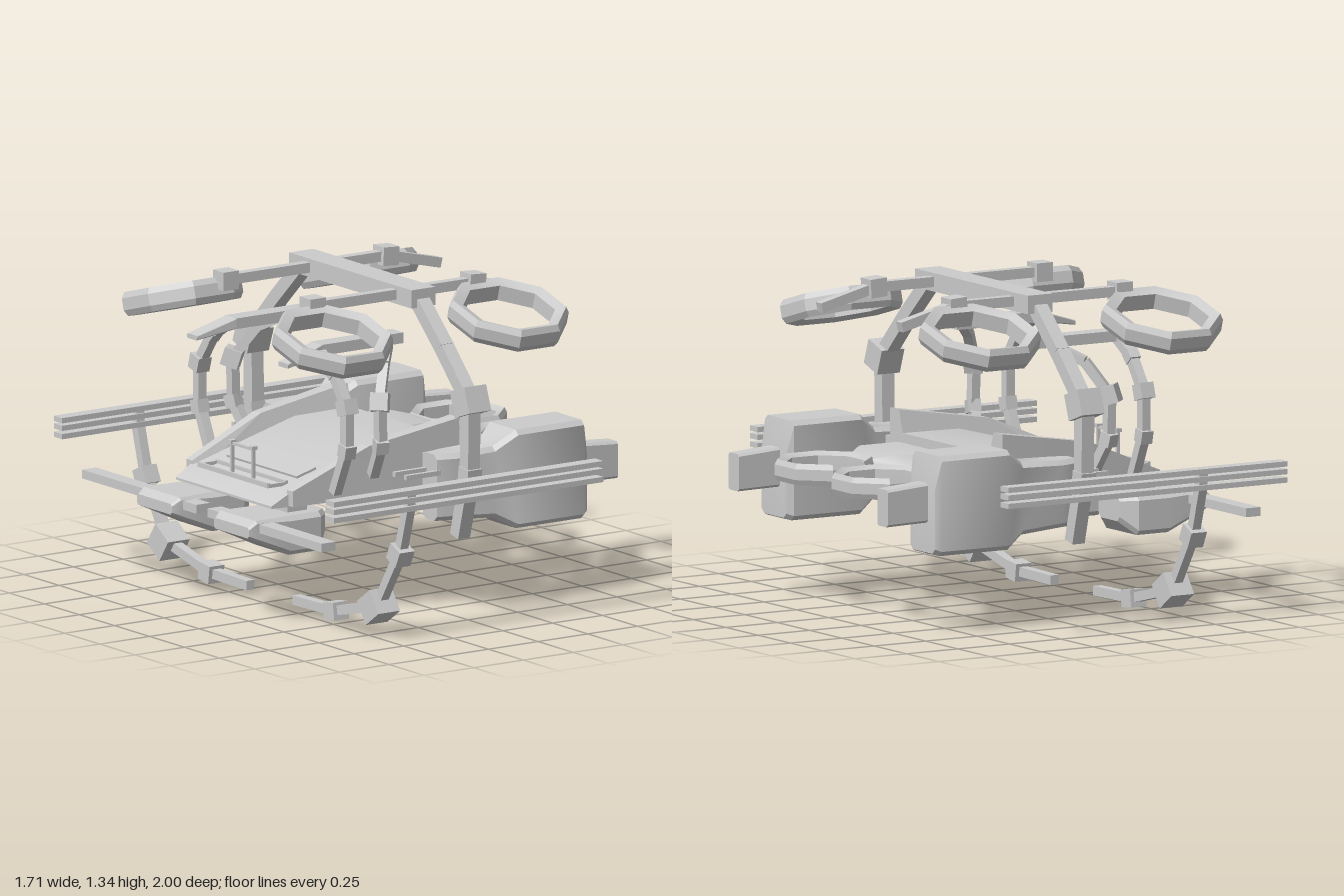
import * as THREE from 'three';
import { toCreasedNormals } from 'three/addons/utils/BufferGeometryUtils.js';

const mat = new THREE.MeshStandardMaterial({ color: 0xcccccc });
const V = (x, y, z) => new THREE.Vector3(x, y, z);

function add(parent, name, geo) {
  const m = new THREE.Mesh(geo, mat);
  m.name = name;
  parent.add(m);
  return m;
}

// Box given by its limits on each axis
function box(parent, name, [x0, x1], [y0, y1], [z0, z1]) {
  const m = add(parent, name, new THREE.BoxGeometry(x1 - x0, y1 - y0, z1 - z0));
  m.position.set((x0 + x1) / 2, (y0 + y1) / 2, (z0 + z1) / 2);
  return m;
}

// Square bar from point a to point b
function bar(parent, name, a, b, w, h = w) {
  const m = add(parent, name, new THREE.BoxGeometry(w, h, a.distanceTo(b)));
  m.position.copy(a).add(b).multiplyScalar(0.5);
  m.lookAt(b);
  return m;
}

// Jointed arm: bars along a path, with a knuckle cube at each listed size
function arm(parent, name, pts, w, joints) {
  const g = new THREE.Group();
  g.name = name;
  parent.add(g);
  for (let i = 0; i < pts.length - 1; i++) bar(g, name + 'Link', pts[i], pts[i + 1], w);
  pts.forEach((p, i) => {
    if (!joints[i]) return;
    const cube = add(g, name + 'Joint', new THREE.BoxGeometry(joints[i], joints[i], joints[i]));
    cube.position.copy(p);
    const prev = pts[Math.max(i - 1, 0)], next = pts[Math.min(i + 1, pts.length - 1)];
    cube.lookAt(next.clone().sub(prev).add(p));
  });
}

// Skin over cross-sections [x, [[y, z], ...]] stepping along +x; each loop runs bottom, +z, top, -z
function loft(sections, crease = 0.3) {
  const n = sections[0][1].length, pos = [], idx = [];
  sections.forEach(([x, loop]) => loop.forEach(([y, z]) => pos.push(x, y, z)));
  for (let s = 0; s < sections.length - 1; s++) {
    for (let i = 0; i < n; i++) {
      const a = s * n + i, b = s * n + (i + 1) % n;
      idx.push(a, a + n, b, b, a + n, b + n);
    }
  }
  const e = (sections.length - 1) * n;
  for (let i = 1; i < n - 1; i++) idx.push(0, i, i + 1, e, e + i + 1, e + i);
  // make sure that the skin faces outward
  const p = i => V(pos[i * 3], pos[i * 3 + 1], pos[i * 3 + 2]);
  let vol = 0;
  for (let i = 0; i < idx.length; i += 3) vol += p(idx[i]).dot(p(idx[i + 1]).cross(p(idx[i + 2])));
  if (vol < 0) idx.reverse();
  const g = new THREE.BufferGeometry();
  g.setAttribute('position', new THREE.Float32BufferAttribute(pos, 3));
  g.setIndex(idx);
  return toCreasedNormals(g, crease);
}

// Rectangular section with chamfered corners
function rect(y0, y1, z0, z1, c = 0.02) {
  return [[y0, z0 + c], [y0, z1 - c], [y0 + c, z1], [y1 - c, z1],
    [y1, z1 - c], [y1, z0 + c], [y1 - c, z0], [y0 + c, z0]];
}

// Octagonal ring; r is the distance to the flats
function ring(parent, name, r, inner, h) {
  const k = 1 / Math.cos(Math.PI / 8), c = 0.25 * (r - inner);
  const profile = [[r - c, -h / 2], [r, -h / 4], [r, h / 4], [r - c, h / 2], [inner, h / 3], [inner, -h / 3], [r - c, -h / 2]];
  const geo = new THREE.LatheGeometry(profile.map(([x, y]) => new THREE.Vector2(x * k, y)), 8);
  geo.rotateY(Math.PI / 8);
  return add(parent, name, toCreasedNormals(geo, 0.4));
}

// Everything on the +z side
function buildSide() {
  const g = new THREE.Group();

  // Side rails
  [0.585, 0.62, 0.652].forEach(y => box(g, 'sideRail', [-0.85, 0.505], [y - 0.011, y + 0.011], [0.94, 1]));

  // Landing leg curling in under the rails
  arm(g, 'landingLeg', [V(-0.45, 0.65, 0.97), V(-0.45, 0.58, 0.965), V(-0.45, 0.375, 0.905), V(-0.45, 0.13, 0.75),
    V(-0.45, 0.055, 0.445), V(-0.45, 0.05, 0.165)], 0.04, [0, 0, 0.075, 0.11, 0.075, 0]);

  // Heavy arm from the roof beam to the engine flank
  arm(g, 'mainArm', [V(-0.005, 1.29, 0.42), V(-0.005, 1.13, 0.59), V(-0.005, 0.94, 0.775),
    V(-0.005, 0.625, 0.77), V(-0.005, 0.36, 0.7)], 0.06, [0, 0, 0.11, 0.07, 0]);

  // Rotor boom with its bent rear tip
  arm(g, 'rotorBoom', [V(-0.5, 1.315, 0.31), V(-0.47, 1.315, 0.31), V(0.335, 1.315, 0.31), V(0.6, 1.25, 0.31)],
    0.042, [0, 0.078, 0.078, 0]);

  // Tilted octagonal rotors
  [-0.53, 0.353].forEach(x => {
    const r = ring(g, 'rotorRing', 0.235, 0.18, 0.1);
    r.position.set(x, 1.215, 0.535);
    r.rotation.x = 0.28;
  });

  // Inner rail and the two slim arms carrying it
  box(g, 'innerRail', [-0.45, -0.04], [1.11, 1.155], [0.265, 0.345]);
  add(g, 'innerRailTip', loft([
    [-0.63, rect(1.08, 1.1, 0.29, 0.36, 0.004)],
    [-0.45, rect(1.11, 1.155, 0.265, 0.345, 0.004)]]));
  arm(g, 'slimArm', [V(-0.45, 1.12, 0.33), V(-0.45, 1.06, 0.43), V(-0.45, 0.925, 0.525),
    V(-0.45, 0.74, 0.525), V(-0.45, 0.55, 0.44)], 0.04, [0, 0.05, 0.065, 0.055, 0]);
  arm(g, 'slantedArm', [V(-0.12, 1.12, 0.35), V(-0.21, 1.06, 0.45), V(-0.285, 0.925, 0.525),
    V(-0.28, 0.74, 0.525), V(-0.26, 0.6, 0.44)], 0.04, [0, 0, 0.075, 0.055, 0]);

  // Engine nacelle, nozzle and front prongs
  add(g, 'engine', loft([
    [-0.065, rect(0.41, 0.69, 0.52, 0.62)],
    [0.02, rect(0.41, 0.69, 0.5, 0.645)],
    [0.21, rect(0.395, 0.695, 0.5, 0.645)],
    [0.3, rect(0.345, 0.76, 0.46, 0.685)],
    [0.63, rect(0.345, 0.76, 0.46, 0.685)],
    [0.655, rect(0.355, 0.64, 0.48, 0.67)]], 0.6));
  add(g, 'nozzle', loft([
    [0.64, rect(0.48, 0.645, 0.53, 0.617, 0.01)],
    [0.85, rect(0.475, 0.63, 0.535, 0.617, 0.01)]]));
  [0.535, 0.615].forEach(z => box(g, 'prong', [-0.22, 0], [0.605, 0.625], [z - 0.01, z + 0.01]));
  box(g, 'enginePylon', [0, 0.16], [0.52, 0.66], [0.42, 0.52]);

  // Rear ring and its mounting
  add(g, 'ringMount', loft([
    [0.16, rect(0.46, 0.65, 0.02, 0.41, 0.04)],
    [0.37, rect(0.5, 0.65, 0.02, 0.41, 0.04)],
    [0.46, rect(0.55, 0.63, 0.11, 0.33, 0.03)]], 0.7));
  ring(g, 'rearRing', 0.193, 0.152, 0.09).position.set(0.632, 0.595, 0.22);

  // Front pod with its cross bar
  add(g, 'frontPod', loft([
    [-0.855, rect(0.4, 0.445, 0.15, 0.4, 0.01)],
    [-0.82, rect(0.385, 0.47, 0.135, 0.41, 0.01)],
    [-0.65, rect(0.305, 0.47, 0.135, 0.41, 0.02)],
    [-0.5, rect(0.305, 0.47, 0.135, 0.41, 0.02)],
    [-0.44, rect(0.36, 0.465, 0.19, 0.355, 0.02)]], 0.5));
  box(g, 'frontCrossBar', [-0.81, -0.74], [0.42, 0.457], [0.04, 0.855]);
  box(g, 'podStrut', [-0.62, -0.52], [0.45, 0.52], [0.2, 0.34]);

  // Raised fin along the hull edge
  add(g, 'hullFin', loft([
    [-0.62, [[0.5, 0.31], [0.5, 0.38], [0.565, 0.38], [0.565, 0.34]]],
    [-0.26, [[0.5, 0.3], [0.5, 0.41], [0.715, 0.41], [0.715, 0.36]]],
    [0.18, [[0.5, 0.28], [0.5, 0.435], [0.785, 0.435], [0.785, 0.365]]]], 0.1));
  return g;
}

export function createModel() {
  const model = new THREE.Group();
  model.name = 'flyingCraft';

  // Wedge hull
  const half = (x, y0, y1, w) => [x, [[y0, -w], [y0, w], [y1, w], [y1, -w]]];
  add(model, 'hull', loft([
    half(-0.7, 0.495, 0.505, 0.34), half(-0.62, 0.495, 0.55, 0.35), half(-0.4, 0.495, 0.61, 0.37),
    half(-0.1, 0.495, 0.685, 0.38), half(0.18, 0.495, 0.69, 0.4)]));

  // Nose panel and thin rack
  const panel = box(model, 'nosePanel', [-0.51, -0.41], [0.595, 0.605], [-0.25, 0.25]);
  panel.rotation.z = 0.265;
  [-0.65, -0.56].forEach(x => box(model, 'rackBar', [x - 0.006, x + 0.006], [0.56, 0.58], [-0.25, 0.25]));
  [-0.245, 0.245].forEach(z => box(model, 'rackEnd', [-0.65, -0.56], [0.56, 0.575], [z - 0.006, z + 0.006]));
  [-0.075, 0.075].forEach(z => {
    box(model, 'rackPost', [-0.612, -0.598], [0.54, 0.69], [z - 0.006, z + 0.006]);
    box(model, 'rackCap', [-0.618, -0.592], [0.685, 0.7], [z - 0.012, z + 0.012]);
  });
  box(model, 'rackTop', [-0.611, -0.599], [0.68, 0.692], [-0.075, 0.075]);

  // Roof beam
  box(model, 'roofBeam', [-0.063, 0.058], [1.275, 1.352], [-0.437, 0.437]);

  // Mirrored sides
  const left = buildSide(), right = buildSide();
  left.name = 'nearSide';
  right.name = 'farSide';
  right.scale.z = -1;
  model.add(left, right);
  return model;
}
